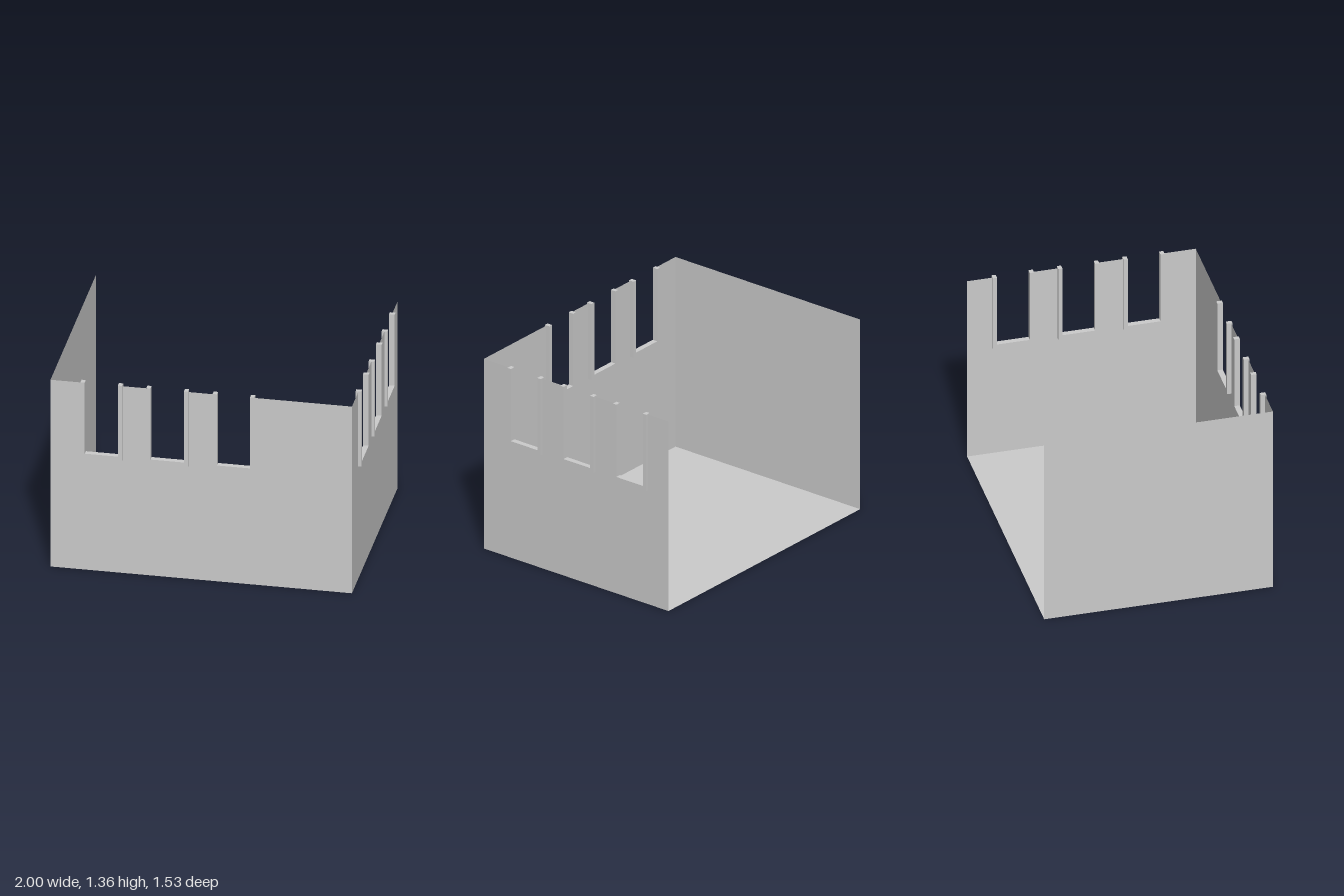
import * as THREE from 'three';

const WALL_TOP = 1.35, FRAME_TOP = 1.355, SILL = 0.813;
const OPENING = 0.274, BAR = 0.028, DEPTH = 0.037;
const X0 = -1, X1 = 0.98, Z0 = -0.765, Z1 = 0.758;

const solid = new THREE.MeshStandardMaterial({ color: 0xcccccc });
const sheet = new THREE.MeshStandardMaterial({ color: 0xcccccc, side: THREE.DoubleSide });

function add(parent, name, geometry, material) {
  const mesh = new THREE.Mesh(geometry, material);
  mesh.name = name;
  parent.add(mesh);
  return mesh;
}

// Paper-thin wall outline with notches open at the top, one per window
function wallGeometry(u0, u1, windows) {
  const half = OPENING / 2 - BAR / 2, bottom = SILL + BAR / 2;
  const shape = new THREE.Shape();
  shape.moveTo(u0, WALL_TOP).lineTo(u0, 0).lineTo(u1, 0).lineTo(u1, WALL_TOP);
  for (const c of [...windows].reverse()) {
    shape.lineTo(c + half, WALL_TOP).lineTo(c + half, bottom);
    shape.lineTo(c - half, bottom).lineTo(c - half, WALL_TOP);
  }
  return new THREE.ShapeGeometry(shape);
}

// U-shaped window frame, open at the top
function frameGeometry(c, front) {
  const o = OPENING / 2, i = o - BAR;
  const shape = new THREE.Shape();
  shape.moveTo(c - o, FRAME_TOP).lineTo(c - o, SILL).lineTo(c + o, SILL).lineTo(c + o, FRAME_TOP);
  shape.lineTo(c + i, FRAME_TOP).lineTo(c + i, SILL + BAR);
  shape.lineTo(c - i, SILL + BAR).lineTo(c - i, FRAME_TOP);
  return new THREE.ExtrudeGeometry(shape, { depth: DEPTH, bevelEnabled: false })
    .translate(0, 0, front - DEPTH);
}

// Wall with its frames, drawn facing +z; "front" is how far the frames stand proud
function windowWall(name, u0, u1, windows, front) {
  const group = new THREE.Group();
  group.name = name;
  add(group, name + 'Panel', wallGeometry(u0, u1, windows), sheet);
  for (const c of windows) add(group, 'windowFrame', frameGeometry(c, front), solid);
  return group;
}

export function createModel() {
  const model = new THREE.Group();
  model.name = 'room';

  // Floor
  const floor = add(model, 'floor', new THREE.PlaneGeometry(X1 - X0, Z1 - Z0), sheet);
  floor.rotation.x = -Math.PI / 2;
  floor.position.set((X0 + X1) / 2, 0, (Z0 + Z1) / 2);

  // Front wall
  const frontWall = windowWall('frontWall', X0, X1, [-0.665, -0.232, 0.203], 0.007);
  frontWall.position.z = Z1;
  model.add(frontWall);

  // Left wall with windows, turned to face +x
  const leftWall = windowWall('leftWall', -Z1, -Z0, [-0.41, 0.025, 0.46], 0.02);
  leftWall.rotation.y = Math.PI / 2;
  leftWall.position.x = X1;
  model.add(leftWall);

  // Plain right wall; the back stays open
  const rightWall = add(model, 'rightWall', wallGeometry(Z0, Z1, []), sheet);
  rightWall.rotation.y = -Math.PI / 2;
  rightWall.position.x = X0;

  return model;
}
